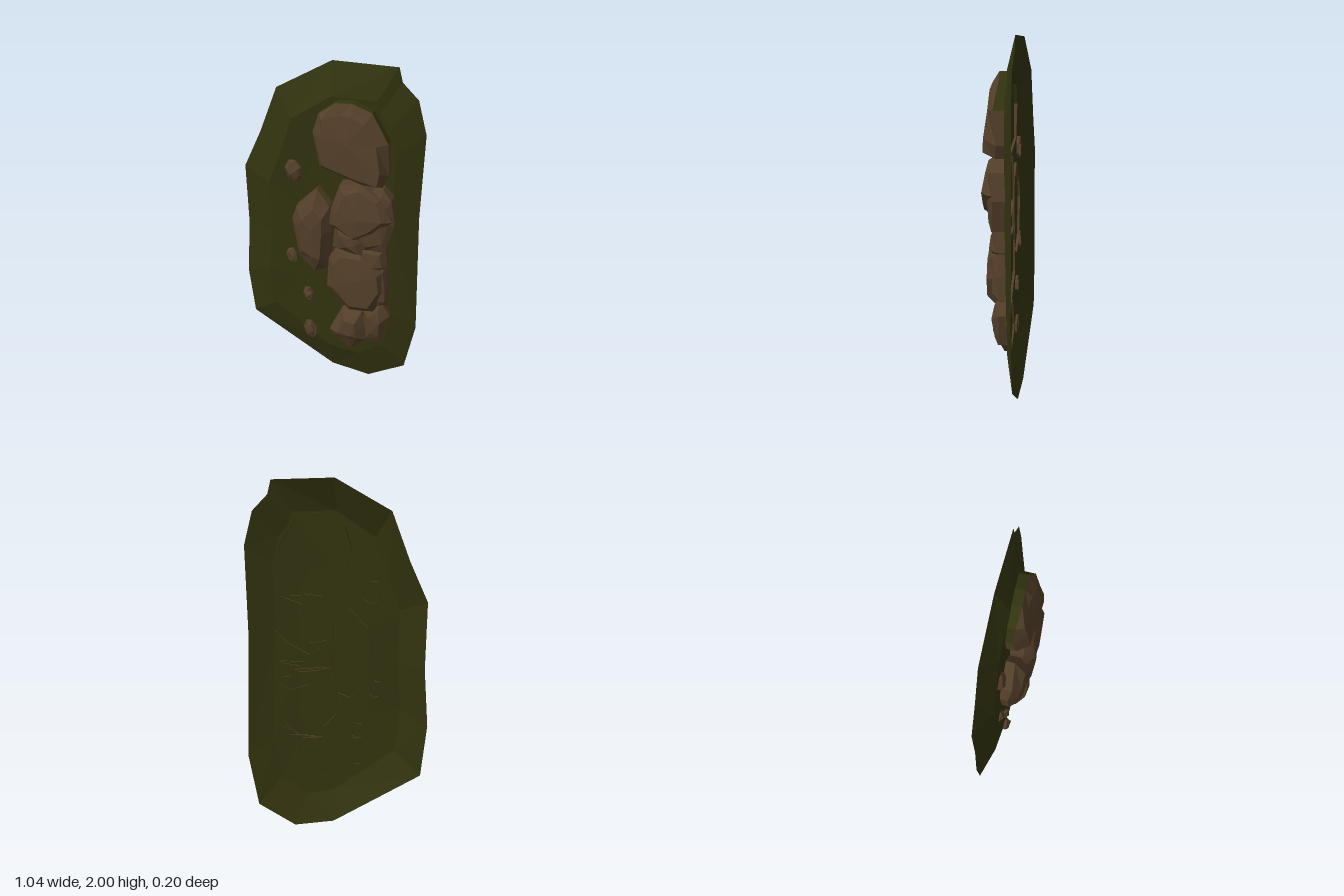
import * as THREE from 'three';

const moss = new THREE.MeshStandardMaterial({ color: 0x32330f, side: THREE.DoubleSide });
const stone = new THREE.MeshStandardMaterial({ color: 0x533f29, side: THREE.DoubleSide });
moss.name = 'moss green';
stone.name = 'brown stone';

// small repeatable noise in -1..1
function seeded(seed) {
  let s = seed * 7919 + 17;
  return () => {
    s = (s * 16807) % 2147483647;
    return (s / 2147483647) * 2 - 1;
  };
}

// open faceted shell: joins rings from back to front and closes the front with a fan
function facetedShell(rings, apex) {
  const n = rings[0].length;
  const pos = [];
  const tri = (...pts) => pts.forEach((p) => pos.push(...p));
  for (let r = 0; r < rings.length - 1; r++) {
    for (let i = 0; i < n; i++) {
      const j = (i + 1) % n;
      const [a, b, c, d] = [rings[r][i], rings[r][j], rings[r + 1][j], rings[r + 1][i]];
      tri(a, b, c);
      tri(a, c, d);
    }
  }
  const last = rings[rings.length - 1];
  for (let i = 0; i < n; i++) tri(last[i], last[(i + 1) % n], apex);
  const geo = new THREE.BufferGeometry();
  geo.setAttribute('position', new THREE.Float32BufferAttribute(pos, 3));
  geo.computeVertexNormals();
  return geo;
}

// counter-clockwise outline and its middle
function prepare(outline) {
  const pts = outline.map(([x, y]) => new THREE.Vector2(x, y));
  if (THREE.ShapeUtils.isClockWise(pts)) pts.reverse();
  const mid = pts.reduce((m, p) => m.add(p), new THREE.Vector2()).divideScalar(pts.length);
  return { pts, mid };
}

// rock: upright wall, sloping shoulder, uneven front; tilt = z change per unit of x and y
function rock(name, outline, front, { inset = 0.7, tilt = [0, 0], shoulder = 0.5, seed = 1, back = -0.05, mossy = false } = {}) {
  const { pts, mid } = prepare(outline);
  const rnd = seeded(seed);
  const rim = back + (front - back) * shoulder;
  const wall = pts.map((p) => [p.x, p.y, back]);
  const edge = pts.map((p) => [p.x, p.y, rim + rnd() * 0.012]);
  const face = pts.map((p) => {
    const k = inset + rnd() * 0.1;
    const dx = (p.x - mid.x) * k, dy = (p.y - mid.y) * k;
    return [mid.x + dx, mid.y + dy, front - 0.012 + dx * tilt[0] + dy * tilt[1] + rnd() * 0.006];
  });
  const geo = facetedShell([wall, edge, face], [mid.x + rnd() * 0.03, mid.y + rnd() * 0.03, front]);
  let material = stone;
  if (mossy) {
    // moss creeps up the wall facets that look upwards
    const n = pts.length;
    for (let i = 0; i < n; i++) {
      const up = pts[i].x - pts[(i + 1) % n].x > 0.03;
      geo.addGroup(i * 6, 6, up ? 1 : 0);
    }
    geo.addGroup(n * 6, geo.attributes.position.count - n * 6, 0);
    material = [stone, moss];
  }
  const mesh = new THREE.Mesh(geo, material);
  mesh.name = name;
  return mesh;
}

// mossy mound: wide skirt rising to a nearly flat top, open at the back
function mound() {
  const { pts } = prepare([
    [0, 2], [0.36, 1.99], [0.38, 1.91], [0.47, 1.82], [0.52, 1.63], [0.505, 1.13], [0.52, 0.4], [0.46, 0.11],
    [0.24, 0], [0.01, 0.045], [-0.49, 0.36], [-0.525, 0.65], [-0.505, 0.97], [-0.515, 1.34], [-0.415, 1.56], [-0.315, 1.825],
  ]);
  const ring = (sx, sy, z) => pts.map((p) => [0.03 + (p.x - 0.03) * sx, 1.02 + (p.y - 1.02) * sy, z(p)]);
  const geo = facetedShell([
    ring(1, 1, () => -0.1),
    ring(0.7, 0.82, (p) => (p.x > 0.1 ? -0.042 : -0.028) - (p.y < 0.5 ? 0.012 : 0)),
    ring(0.4, 0.5, () => -0.036),
  ], [0.03, 1.02, -0.038]);
  const mesh = new THREE.Mesh(geo, moss);
  mesh.name = 'mossMound';
  return mesh;
}

export function createModel() {
  const group = new THREE.Group();
  group.name = 'mossyRocks';
  group.add(mound());

  // large stones
  group.add(
    rock('topRock', [[-0.04, 1.44], [-0.08, 1.63], [-0.045, 1.74], [0.05, 1.81], [0.14, 1.81], [0.245, 1.765],
      [0.34, 1.605], [0.345, 1.42], [0.315, 1.35], [0.19, 1.35]], 0.08,
    { inset: 0.78, tilt: [0, -0.1], seed: 2, mossy: true }),
    rock('upperRock', [[0.02, 1.1], [0.03, 1.2], [0.08, 1.35], [0.19, 1.36], [0.31, 1.29], [0.38, 1.16], [0.28, 1.07],
      [0.165, 1.015]], 0.1, { inset: 0.75, tilt: [-0.05, -0.08], seed: 3, shoulder: 0.6 }),
    rock('leftRock', [[-0.205, 1.09], [-0.175, 1.18], [-0.055, 1.3], [0.02, 1.2], [0.03, 1.05], [0, 0.8], [-0.07, 0.775],
      [-0.165, 0.865]], 0.08, { inset: 0.6, tilt: [0.1, 0.03], seed: 4 }),
    rock('lowerRock', [[0.01, 0.865], [0.06, 0.945], [0.27, 0.92], [0.335, 0.82], [0.345, 0.695], [0.285, 0.535],
      [0.135, 0.535], [0, 0.68]], 0.07, { inset: 0.78, tilt: [0, -0.08], seed: 5 }),
  );

  // stones wedged between and behind the large ones
  group.add(
    rock('upperRightRock', [[0.2, 1.3], [0.32, 1.34], [0.37, 1.28], [0.39, 1.13], [0.34, 0.96], [0.22, 0.945], [0.16, 1.05]],
      0.06, { inset: 0.72, seed: 6, shoulder: 0.7 }),
    rock('wedgeRock', [[0.035, 0.945], [0.05, 1.1], [0.16, 1.08], [0.21, 1.0], [0.23, 0.91], [0.13, 0.92]],
      0.075, { inset: 0.55, tilt: [0, 0.15], seed: 7 }),
    rock('middleRock', [[0.16, 0.84], [0.2, 0.97], [0.34, 0.97], [0.355, 0.85], [0.28, 0.8]],
      0.055, { inset: 0.6, seed: 8 }),
    rock('rightStripRock', [[0.27, 0.88], [0.34, 0.88], [0.36, 0.72], [0.36, 0.59], [0.27, 0.56]],
      0.035, { inset: 0.65, seed: 9 }),
    rock('bottomRightRock', [[0.22, 0.53], [0.32, 0.61], [0.375, 0.51], [0.325, 0.335], [0.235, 0.335]],
      0.035, { inset: 0.62, seed: 10 }),
    rock('bottomLeftRock', [[0.015, 0.37], [0.09, 0.53], [0.21, 0.52], [0.245, 0.42], [0.235, 0.33], [0.145, 0.245], [0.04, 0.33]],
      0.055, { inset: 0.5, tilt: [0, 0.1], seed: 11, shoulder: 0.4 }),
  );

  // pebbles down the side: x, y, half width, half height
  [[-0.2, 1.38, 0.05, 0.066], [-0.22, 0.83, 0.035, 0.05], [-0.12, 0.58, 0.033, 0.045], [-0.112, 0.33, 0.04, 0.065]]
    .forEach(([x, y, w, h], k) => {
      const rnd = seeded(k + 20);
      const outline = Array.from({ length: 7 }, (_, i) => {
        const a = (i / 7) * Math.PI * 2 + 0.3, r = 1 + rnd() * 0.12;
        return [x + Math.cos(a) * w * r - Math.sin(a) * 0.008, y + Math.sin(a) * h * r];
      });
      group.add(rock('pebble' + (k + 1), outline, k === 0 ? 0.002 : -0.004, { inset: 0.65, seed: k + 30 }));
    });

  return group;
}
